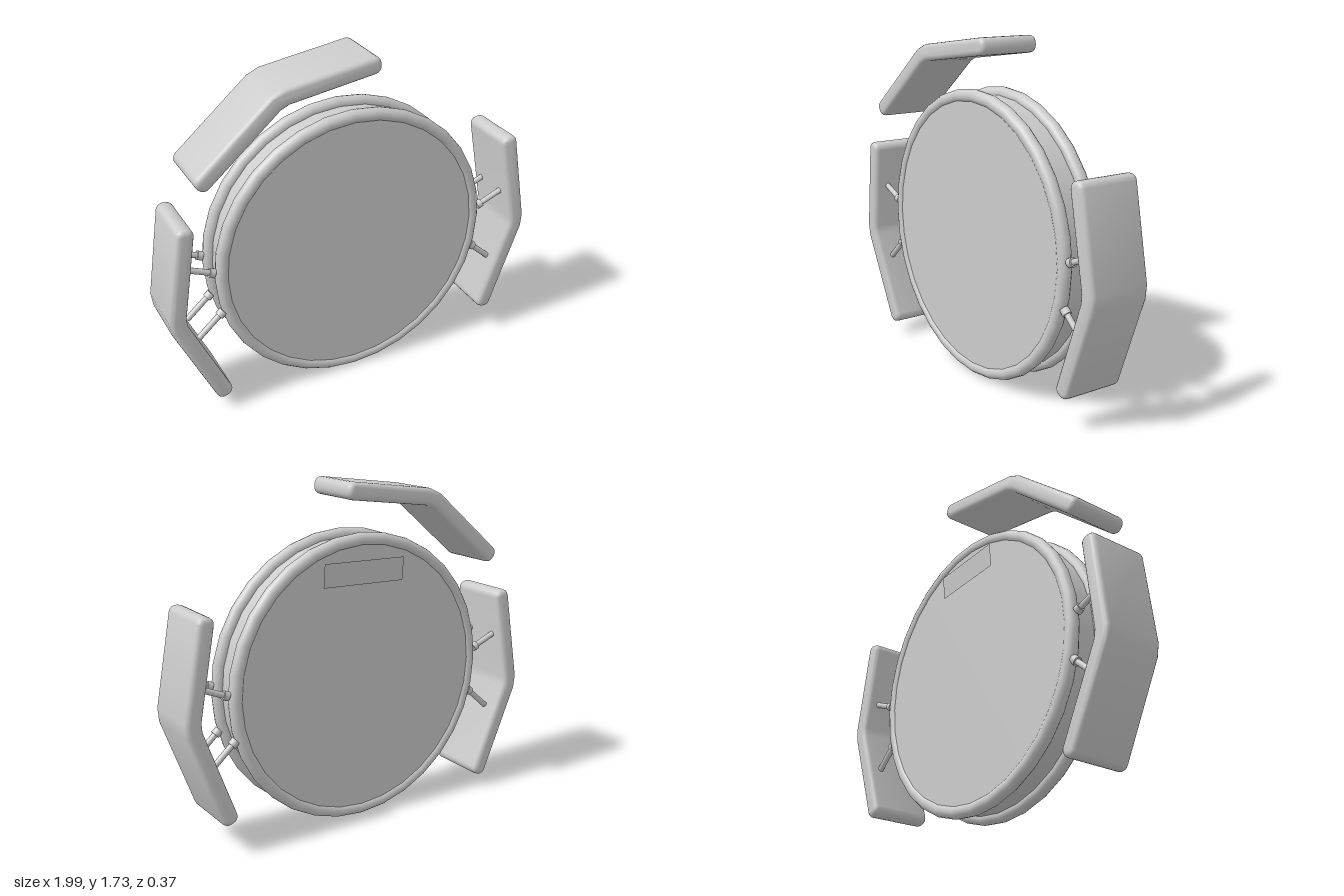
import * as THREE from 'three';
import { toCreasedNormals } from 'three/addons/utils/BufferGeometryUtils.js';

const material = new THREE.MeshStandardMaterial({ color: 0xcccccc });
const CENTRE_Y = 0.74, RADIUS = 0.703, TUBE = 0.034;
const RING_Z = [0.097, -0.077];
const V = (x, y) => new THREE.Vector2(x, y);

function add(parent, name, geometry, mat = material) {
  const mesh = new THREE.Mesh(geometry, mat);
  mesh.name = name;
  parent.add(mesh);
  return mesh;
}

// Bent bar outline around a two-leg path: softened knee, rounded tips
function bentOutline(a, knee, b, half, round) {
  const dirA = knee.clone().sub(a).normalize();
  const dirB = b.clone().sub(knee).normalize();
  const soft = 0.03;
  const k1 = knee.clone().addScaledVector(dirA, -soft);
  const k2 = knee.clone().addScaledVector(dirB, soft);
  const dirK = k2.clone().sub(k1).normalize();
  const side = d => V(-d.y, d.x);
  const miter = (d, e) => {
    const m = side(d).add(side(e)).normalize();
    return m.multiplyScalar(half / m.dot(side(d)));
  };
  // rounded tip, running from the left side of d to its right side
  const tip = (end, d) => {
    const pts = [];
    for (const s of [1, -1]) {
      for (let i = 0; i <= 4; i++) {
        const t = (s > 0 ? i : 4 - i) / 4 * Math.PI / 2;
        pts.push(end.clone()
          .addScaledVector(d, -round + round * Math.sin(t))
          .addScaledVector(side(d), s * (half - round + round * Math.cos(t))));
      }
    }
    return pts;
  };
  const m1 = miter(dirA, dirK), m2 = miter(dirK, dirB);
  return [
    ...tip(a, dirA.clone().negate()),
    k1.clone().add(m1), k2.clone().add(m2),
    ...tip(b, dirB),
    k2.clone().sub(m2), k1.clone().sub(m1),
  ];
}

// Panel extruded through z, then sheared a little so it sits askew
function panel(parent, name, pts, zMid, shearX, shearY) {
  const [a, k, b] = pts.map(p => V(...p));
  const bevel = 0.025, depth = 0.33;
  const shape = new THREE.Shape(bentOutline(a, k, b, 0.043, 0.036));
  const geo = new THREE.ExtrudeGeometry(shape, {
    depth: depth - 2 * bevel, bevelThickness: bevel, bevelSize: bevel,
    bevelOffset: -bevel, bevelSegments: 4, steps: 1,
  });
  geo.translate(0, 0, -depth / 2 + bevel);
  const p = geo.attributes.position;
  for (let i = 0; i < p.count; i++) {
    p.setZ(i, p.getZ(i) + zMid + shearX * (p.getX(i) - k.x) + shearY * (p.getY(i) - k.y));
  }
  add(parent, name, toCreasedNormals(geo, 0.6));
}

function rod(parent, name, from, to, radius) {
  const dir = to.clone().sub(from);
  const mesh = add(parent, name, new THREE.CylinderGeometry(radius, radius, dir.length(), 12));
  mesh.position.copy(from).addScaledVector(dir, 0.5);
  mesh.quaternion.setFromUnitVectors(new THREE.Vector3(0, 1, 0), dir.normalize());
}

export function createModel() {
  const model = new THREE.Group();
  model.name = 'wheelWithPanels';

  // Flat drum with its two faces
  const drum = new THREE.CylinderGeometry(RADIUS - 0.005, RADIUS - 0.005, 0.22, 32);
  drum.rotateX(Math.PI / 2);
  add(model, 'drum', drum).position.set(0, CENTRE_Y, 0.01);

  // Round rims along both edges
  for (const z of RING_Z) {
    add(model, z > 0 ? 'frontRim' : 'backRim', new THREE.TorusGeometry(RADIUS, TUBE, 14, 32))
      .position.set(0, CENTRE_Y, z);
  }

  // Thin plate on the back, tilted and turned slightly
  const thin = material.clone();
  thin.side = THREE.DoubleSide;
  const plate = add(model, 'backPlate', new THREE.PlaneGeometry(0.44, 0.12), thin);
  plate.position.set(0.01, 1.29, -0.131);
  plate.rotation.set(-0.1, -0.08, 0);

  // Three bent outer panels
  panel(model, 'topPanel', [[-0.81, 1.275], [-0.39, 1.625], [0.13, 1.695]], 0, -0.04, 0);
  panel(model, 'leftPanel', [[0.858, 1.185], [0.953, 0.67], [0.77, 0.165]], 0.015, 0, 0.008);
  panel(model, 'rightPanel', [[-0.882, 1.09], [-0.957, 0.57], [-0.728, 0.075]], 0.005, 0, 0.028);

  // Struts with sleeves joining the side panels to both rims
  const struts = [[0.738, 0.78, 0.885, 0.84], [0.705, 0.555, 0.84, 0.435]];
  for (const side of [1, -1]) {
    for (const z of RING_Z) {
      for (const [x0, y0, x1, y1] of struts) {
        const group = new THREE.Group();
        group.name = side > 0 ? 'leftStrut' : 'rightStrut';
        const from = new THREE.Vector3(side * x0, y0, z);
        const to = new THREE.Vector3(side * x1, y1, z);
        rod(group, 'rod', from, to, 0.015);
        rod(group, 'sleeve', from, from.clone().lerp(to, 0.18), 0.023);
        model.add(group);
      }
    }
  }
  return model;
}
